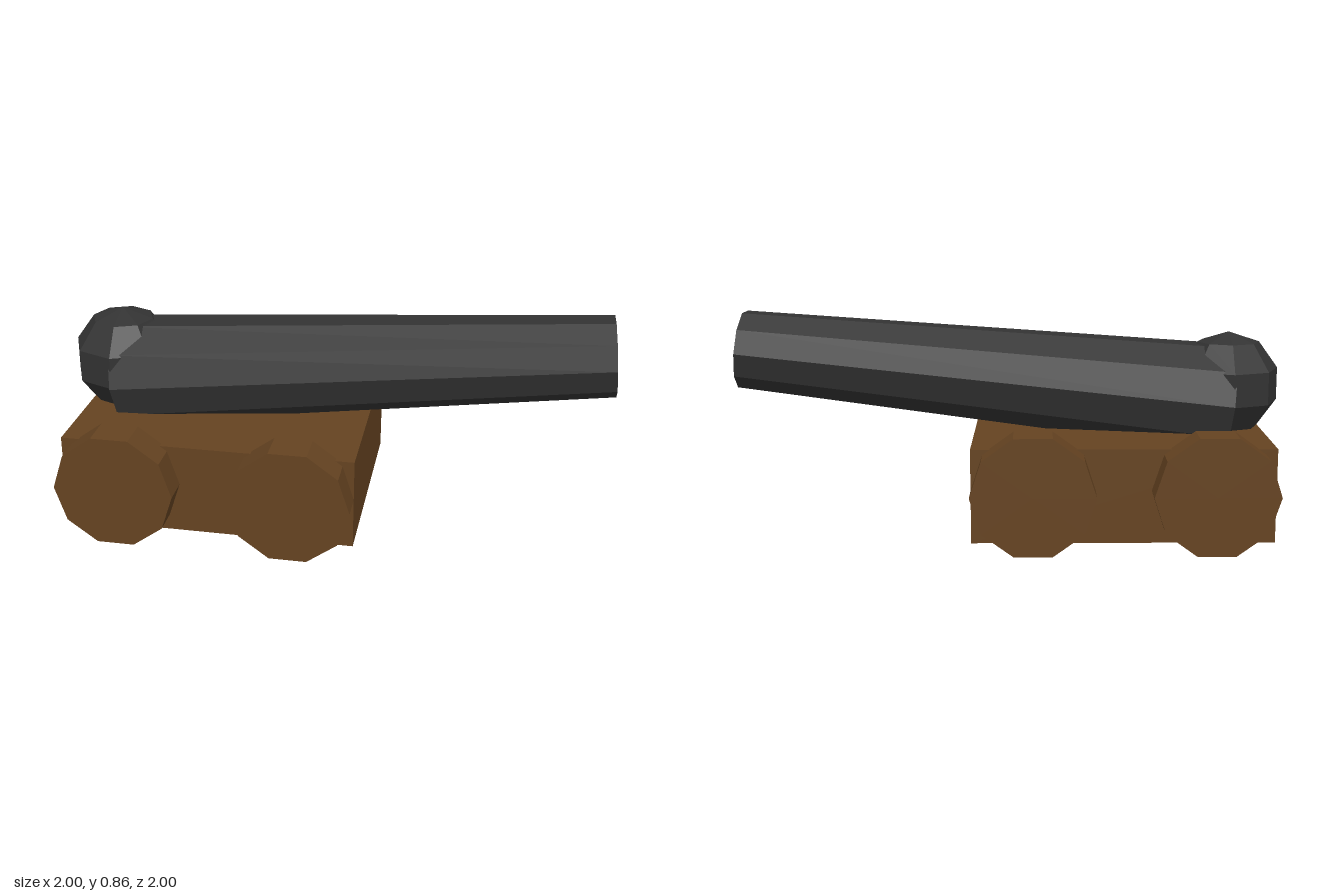
import * as THREE from 'three';

export function createModel() {
  const model = new THREE.Group();
  model.name = 'cannon';

  const wood = new THREE.MeshStandardMaterial({ color: 0x654321, flatShading: true });
  wood.name = 'brown wood';
  const iron = new THREE.MeshStandardMaterial({ color: 0x333333, flatShading: true });
  iron.name = 'dark iron';

  const add = (name, geometry, material, x, y, z) => {
    const mesh = new THREE.Mesh(geometry, material);
    mesh.name = name;
    mesh.position.set(x, y, z);
    model.add(mesh);
    return mesh;
  };

  // Carriage block
  add('carriage', new THREE.BoxGeometry(0.905, 0.365, 1.16), wood, 0, 0.2025, -0.269);

  // Four ten-sided wheels, sunk slightly into the carriage
  const wheel = new THREE.CylinderGeometry(0.237, 0.237, 0.136, 10).rotateZ(Math.PI / 2);
  for (const side of [1, -1]) {
    const label = side > 0 ? 'left' : 'right';
    add(label + 'FrontWheel', wheel, wood, side * 0.498, 0.2255, 0.074);
    add(label + 'BackWheel', wheel, wood, side * 0.498, 0.2255, -0.612);
  }

  // Tapered barrel running from breech to muzzle, tilted upward
  const breech = new THREE.Vector3(0, 0.5, -0.72);
  const muzzle = new THREE.Vector3(0, 0.705, 1.255);
  const barrelGeometry = new THREE.CylinderGeometry(
    0.159, 0.226, breech.distanceTo(muzzle), 10, 1, false, Math.PI / 2
  ).rotateX(Math.PI / 2);
  const middle = breech.clone().add(muzzle).multiplyScalar(0.5);
  const barrel = add('barrel', barrelGeometry, iron, middle.x, middle.y, middle.z);
  barrel.rotation.x = -Math.atan2(muzzle.y - breech.y, muzzle.z - breech.z);

  // Faceted knob at the breech
  add('breechKnob', new THREE.SphereGeometry(0.214, 8, 5), iron, 0, 0.56, -0.72);

  // The whole cannon points diagonally
  model.rotation.y = Math.PI / 4;
  const root = new THREE.Group();
  root.name = 'cannonModel';
  root.add(model);
  return root;
}
